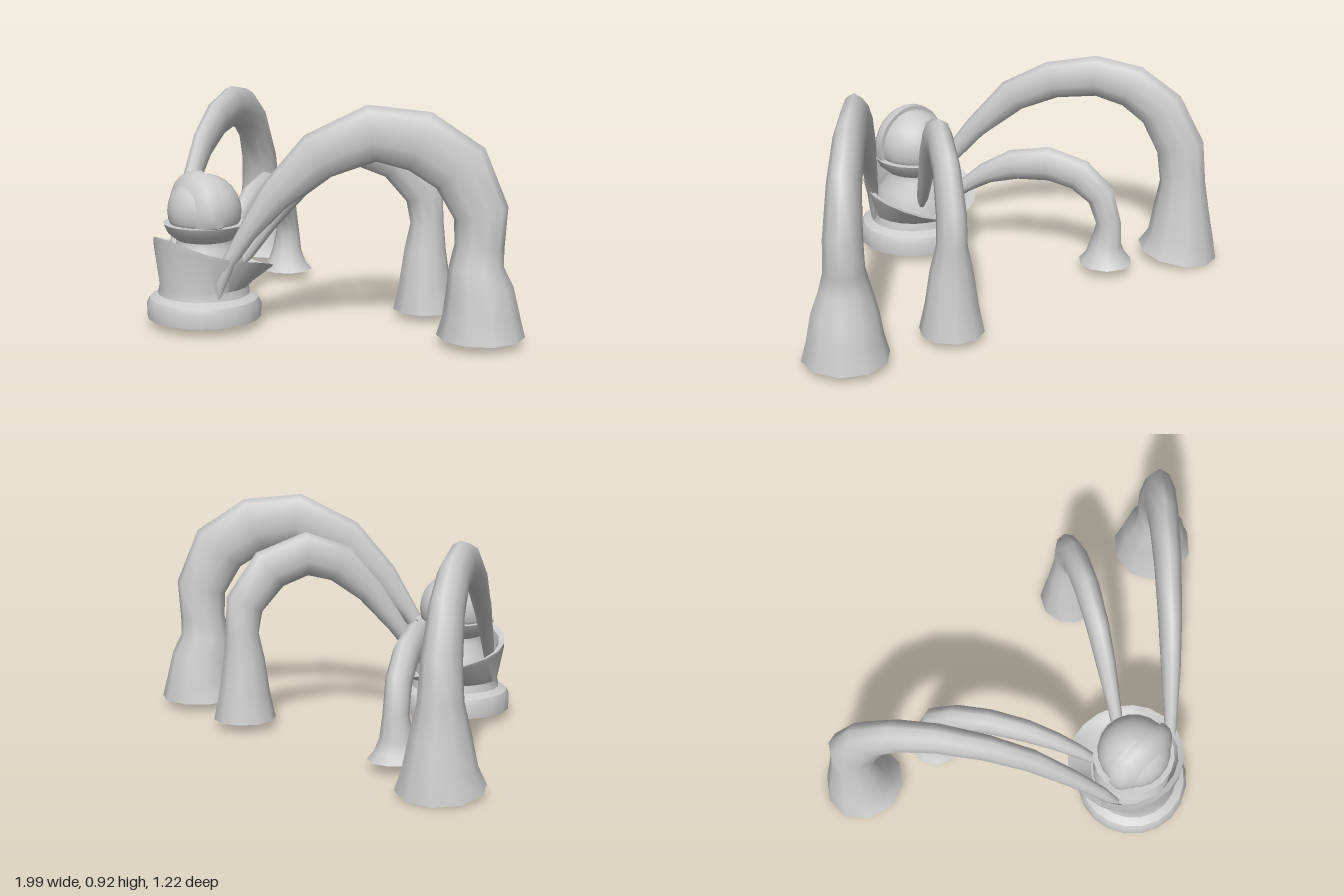
import * as THREE from 'three';
import { toCreasedNormals } from 'three/addons/utils/BufferGeometryUtils.js';

const CX = -0.04, CZ = 0.38; // axis of the base
const material = new THREE.MeshStandardMaterial({ color: 0xcccccc, side: THREE.DoubleSide });

function addMesh(parent, name, geometry) {
  const mesh = new THREE.Mesh(geometry, material);
  mesh.name = name;
  parent.add(mesh);
  return mesh;
}

function lathe(profile, sides) {
  return new THREE.LatheGeometry(profile.map(([r, y]) => new THREE.Vector2(r, y)), sides);
}

// Change every vertex of a geometry by a rule
function reshape(geometry, rule) {
  const pos = geometry.attributes.position, v = new THREE.Vector3();
  for (let i = 0; i < pos.count; i++) {
    rule(v.fromBufferAttribute(pos, i));
    pos.setXYZ(i, v.x, v.y, v.z);
  }
  geometry.computeVertexNormals();
  return geometry;
}

// Arched tube in a vertical plane from foot to root.
// Each ring is [x, y, in-plane radius, sideways radius]; z follows from x.
function tentacle(root, foot, rings) {
  const sides = 10;
  const dir = new THREE.Vector3(foot[0] - root[0], 0, foot[1] - root[1]);
  const length = dir.length();
  dir.normalize();
  const side = new THREE.Vector3(dir.z, 0, -dir.x);
  const path = rings.map(([x, y]) => [(x - root[0]) / (foot[0] - root[0]) * length, y]);
  const positions = [], index = [];
  rings.forEach(([, y, a, b], i) => {
    const p = path[Math.max(i - 1, 0)], q = path[Math.min(i + 1, path.length - 1)];
    const t = new THREE.Vector2(q[0] - p[0], q[1] - p[1]).normalize();
    for (let j = 0; j < sides; j++) {
      const angle = (j / sides) * Math.PI * 2;
      const n = a * Math.cos(angle), l = b * Math.sin(angle);
      const d = path[i][0] + t.y * n;
      positions.push(root[0] + dir.x * d + side.x * l, y - t.x * n, root[1] + dir.z * d + side.z * l);
      if (i < rings.length - 1) {
        const k = i * sides + j, m = i * sides + (j + 1) % sides;
        index.push(k, m, k + sides, m, m + sides, k + sides);
      }
    }
  });
  const geometry = new THREE.BufferGeometry();
  geometry.setAttribute('position', new THREE.Float32BufferAttribute(positions, 3));
  geometry.setIndex(index);
  geometry.computeVertexNormals();
  return geometry;
}

export function createModel() {
  const model = new THREE.Group();
  model.name = 'tentaclePot';

  // Pot: round foot, waist and a flared bowl whose rim slopes down to the back
  const pot = reshape(lathe([
    [0, 0.022], [0.228, 0.022], [0.23, 0.075], [0.218, 0.1], [0.185, 0.118], [0.178, 0.15],
    [0.235, 0.262], [0.24, 0.278], [0.215, 0.272], [0.165, 0.19], [0, 0.18],
  ], 20), (v) => {
    const r = Math.hypot(v.x, v.z);
    const k = Math.max(0, (v.y - 0.15) / 0.125);
    const u = r > 0 ? (v.z / r) * Math.min(1, r / 0.2) : 0;
    v.y += k * (0.045 * u + 0.035 * u ** 3);
    v.z -= k * 0.045;
  });
  addMesh(model, 'pot', toCreasedNormals(pot, 0.6)).position.set(CX, 0, CZ);

  // Neck with a saucer-shaped collar
  const neck = lathe([
    [0.165, 0.17], [0.15, 0.26], [0.115, 0.31], [0.112, 0.335], [0.148, 0.365], [0.166, 0.402], [0, 0.402],
  ], 20);
  addMesh(model, 'neckAndCollar', toCreasedNormals(neck, 0.6)).position.set(CX, 0, 0.375);

  // Head: ball at the back, larger domed hood over the front, both cut off at the collar
  const head = new THREE.Group();
  head.name = 'head';
  head.position.set(CX, 0.448, 0.375);
  model.add(head);
  const floor = (v) => { v.y = Math.max(v.y, -0.056); };
  addMesh(head, 'ball', reshape(new THREE.SphereGeometry(0.148, 20, 14), floor));
  const hood = lathe([
    [0, 0.015], [0.163, 0.015], [0.163, 0.045], [0.152, 0.068], [0.115, 0.097], [0.06, 0.121], [0, 0.128],
  ], 24).rotateX(Math.PI / 2);
  addMesh(head, 'hood', toCreasedNormals(reshape(hood, floor), 0.7));

  // Four tentacles with open, flared feet
  addMesh(model, 'leftFrontTentacle', tentacle([0.17, 0.39], [0.83, -0.32], [
    [0.83, 0.018, 0.17, 0.17], [0.83, 0.1, 0.148, 0.148], [0.825, 0.2, 0.13, 0.13], [0.815, 0.29, 0.105, 0.1],
    [0.822, 0.37, 0.095, 0.08], [0.825, 0.5, 0.105, 0.075], [0.77, 0.67, 0.12, 0.065], [0.665, 0.77, 0.12, 0.06],
    [0.54, 0.797, 0.11, 0.055], [0.4, 0.705, 0.095, 0.048], [0.29, 0.55, 0.065, 0.04], [0.215, 0.4, 0.038, 0.03],
    [0.165, 0.28, 0.028, 0.024], [0.142, 0.19, 0.022, 0.018], [0.138, 0.13, 0.004, 0.004],
  ]));
  addMesh(model, 'rightFrontTentacle', tentacle([-0.24, 0.37], [-0.83, -0.44], [
    [-0.83, 0.012, 0.168, 0.168], [-0.837, 0.09, 0.138, 0.138], [-0.835, 0.2, 0.118, 0.115], [-0.835, 0.33, 0.095, 0.085],
    [-0.825, 0.48, 0.1, 0.075], [-0.775, 0.64, 0.1, 0.065], [-0.7, 0.73, 0.095, 0.06], [-0.61, 0.763, 0.088, 0.055],
    [-0.5, 0.73, 0.08, 0.048], [-0.4, 0.645, 0.07, 0.042], [-0.305, 0.485, 0.046, 0.034], [-0.235, 0.335, 0.034, 0.026],
    [-0.2, 0.23, 0.022, 0.018], [-0.19, 0.19, 0.004, 0.004],
  ]));
  addMesh(model, 'leftBackTentacle', tentacle([0.04, 0.21], [0.39, -0.41], [
    [0.39, 0.02, 0.128, 0.128], [0.39, 0.13, 0.105, 0.105], [0.39, 0.27, 0.085, 0.085], [0.393, 0.38, 0.068, 0.06],
    [0.387, 0.5, 0.08, 0.058], [0.335, 0.64, 0.09, 0.052], [0.26, 0.7, 0.09, 0.05], [0.19, 0.655, 0.08, 0.046],
    [0.13, 0.54, 0.058, 0.04], [0.075, 0.39, 0.038, 0.03], [0.035, 0.27, 0.028, 0.024], [0.01, 0.19, 0.004, 0.004],
  ]));
  addMesh(model, 'rightBackTentacle', tentacle([-0.14, 0.21], [-0.49, -0.35], [
    [-0.49, 0.027, 0.112, 0.112], [-0.49, 0.06, 0.085, 0.085], [-0.49, 0.11, 0.065, 0.065], [-0.495, 0.2, 0.053, 0.05],
    [-0.475, 0.32, 0.062, 0.05], [-0.425, 0.4, 0.072, 0.05], [-0.355, 0.432, 0.075, 0.048], [-0.275, 0.41, 0.065, 0.044],
    [-0.21, 0.355, 0.045, 0.036], [-0.16, 0.285, 0.03, 0.028], [-0.125, 0.22, 0.022, 0.02], [-0.115, 0.18, 0.004, 0.004],
  ]));
  return model;
}
